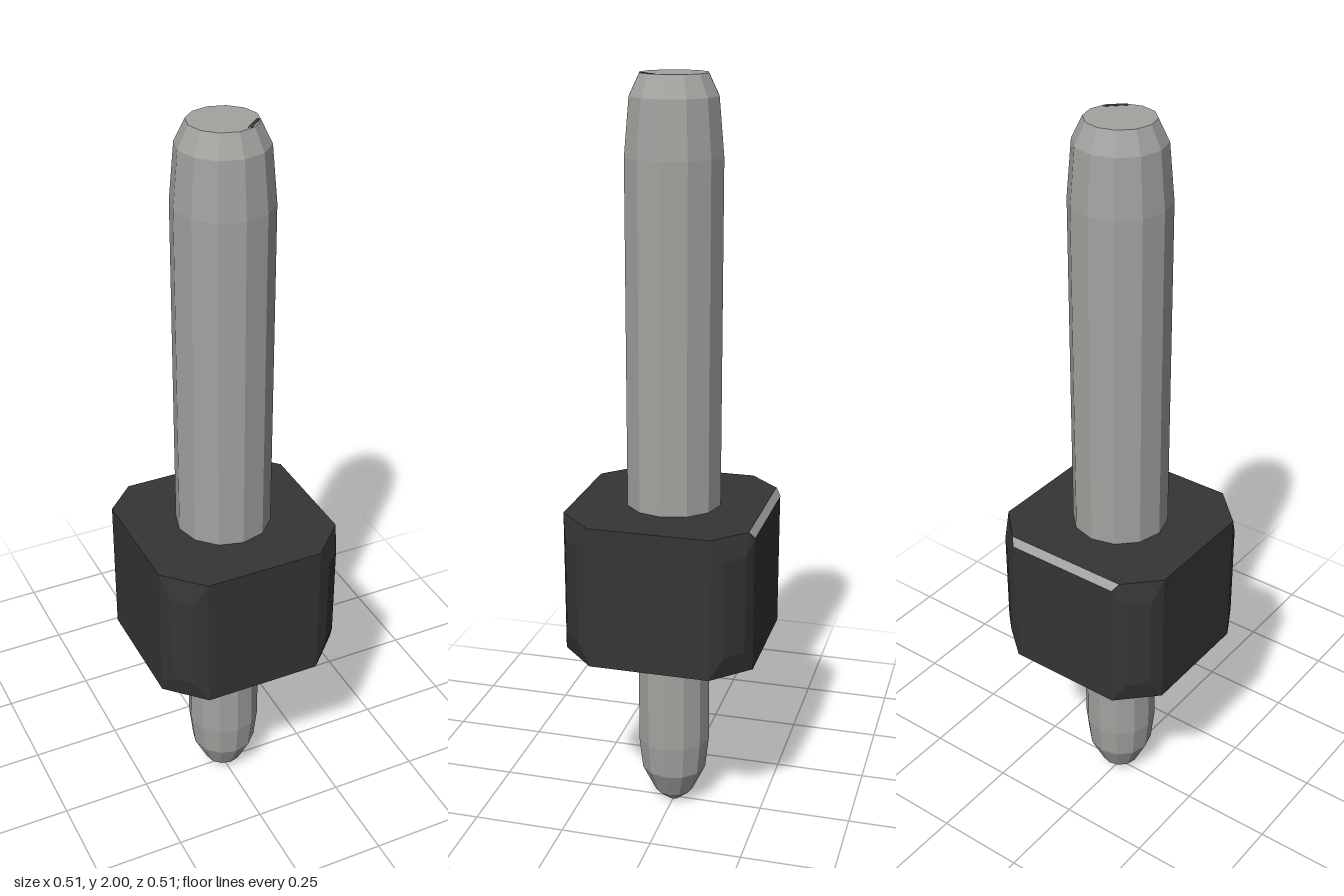
import * as THREE from 'three';
import { ConvexGeometry } from 'three/addons/geometries/ConvexGeometry.js';

const metal = new THREE.MeshStandardMaterial({ name: 'grey metal', color: 0xa2a4a0 });
const plastic = new THREE.MeshStandardMaterial({ name: 'black plastic', color: 0x353535 });

// Twelve-sided faceted shaft from a [radius, height] profile
function shaft(name, profile) {
  const points = profile.map(([r, y]) => new THREE.Vector2(r, y));
  const geometry = new THREE.LatheGeometry(points, 12).toNonIndexed();
  geometry.computeVertexNormals();
  const mesh = new THREE.Mesh(geometry, metal);
  mesh.name = name;
  return mesh;
}

// Block with clipped corners and a bevel along its upper back edge
function collarBlock() {
  const points = [];
  const add = (x, y, z) => points.push(new THREE.Vector3(x, y, z));
  for (const sx of [-1, 1]) {
    for (const sz of [-1, 1]) {
      for (const y of [0.51, 0.895]) {
        add(sx * 0.255, y, sz * 0.16);
        if (y === 0.895 && sz === -1) {
          add(sx * 0.174, y, -0.241);
          add(sx * 0.16, 0.875, -0.255);
        } else {
          add(sx * 0.16, y, sz * 0.255);
        }
      }
      // fuller corner between the clipped ends
      for (const y of [0.57, 0.835]) {
        add(sx * 0.195, y, sz * 0.24);
        add(sx * 0.24, y, sz * 0.195);
      }
    }
  }
  const mesh = new THREE.Mesh(new ConvexGeometry(points), plastic);
  mesh.name = 'collarBlock';
  return mesh;
}

// Pale strip lying on the back bevel
function backStrip() {
  const o = 0.001;
  const a = [0.16, 0.875 + o, -0.255 - o], b = [-0.16, 0.875 + o, -0.255 - o];
  const c = [-0.174, 0.895 + o, -0.241 - o], d = [0.174, 0.895 + o, -0.241 - o];
  const geometry = new THREE.BufferGeometry();
  geometry.setAttribute('position', new THREE.Float32BufferAttribute([a, b, c, a, c, d].flat(), 3));
  geometry.computeVertexNormals();
  const mesh = new THREE.Mesh(geometry, metal);
  mesh.name = 'backStrip';
  return mesh;
}

export function createModel() {
  const group = new THREE.Group();
  group.name = 'headerPin';

  group.add(shaft('upperPin', [
    [0.127, 0.88], [0.127, 1.8], [0.114, 1.945], [0.087, 2], [0, 2],
  ]));
  group.add(shaft('lowerPin', [
    [0, 0], [0.015, 0], [0.053, 0.033], [0.09, 0.11], [0.1, 0.2], [0.1, 0.53],
  ]));
  group.add(collarBlock(), backStrip());

  // Small dark mark on the pin's flat top
  const mark = new THREE.Mesh(new THREE.BoxGeometry(0.06, 0.002, 0.01), plastic);
  mark.name = 'topMark';
  mark.position.set(0.053, 1.9995, 0.053);
  mark.rotation.y = Math.PI / 4;
  group.add(mark);

  return group;
}
